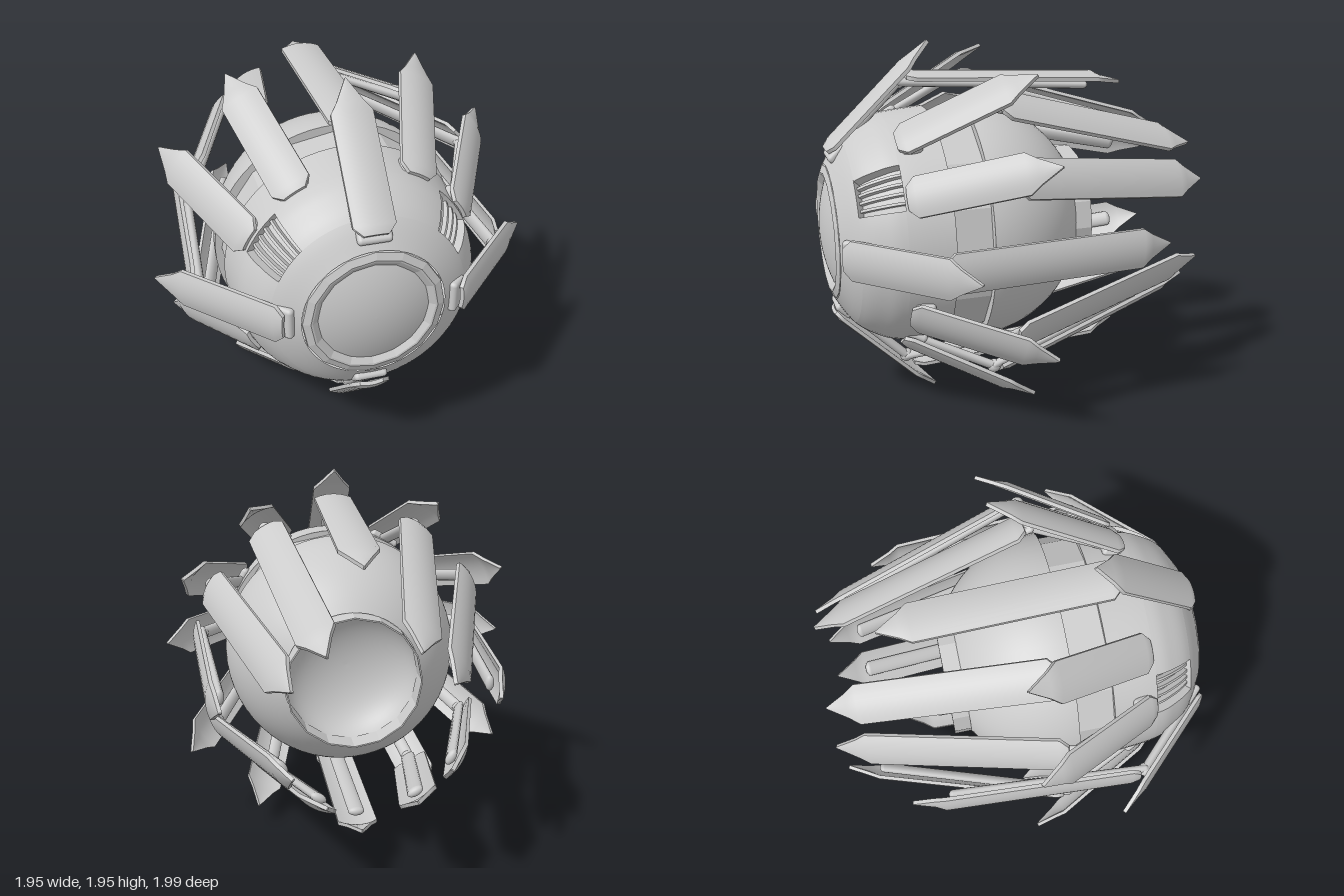
import * as THREE from 'three';
import { RoundedBoxGeometry } from 'three/addons/geometries/RoundedBoxGeometry.js';

const smooth = new THREE.MeshStandardMaterial({ color: 0xcccccc, side: THREE.DoubleSide });
const faceted = new THREE.MeshStandardMaterial({ color: 0xcccccc, side: THREE.DoubleSide, flatShading: true });
const rad = THREE.MathUtils.degToRad;

function add(parent, name, geometry, material = smooth) {
  const mesh = new THREE.Mesh(geometry, material);
  mesh.name = name;
  parent.add(mesh);
  return mesh;
}

// Lathe about the z axis; points are [radius, z], angles are measured from +x
function turned(points, sides = 60, from = 0, sweep = Math.PI * 2) {
  const profile = points.map((p) => (p.isVector2 ? p : new THREE.Vector2(p[0], p[1])));
  return new THREE.LatheGeometry(profile, sides, from + Math.PI / 2, sweep).rotateX(Math.PI / 2);
}

// Points on a circle of radius R centred at z = c, from one z to another
function arc(R, c, z0, z1, n = 20) {
  return Array.from({ length: n + 1 }, (_, i) => {
    const z = z0 + ((z1 - z0) * i) / n;
    return [Math.sqrt(R * R - (z - c) ** 2), z];
  });
}

// Curved armour plate with a chamfered root and a pointed tip, from a to b as [radius, z]
function plateGeometry(a, b, tipLift) {
  const start = new THREE.Vector2(...a);
  const d = new THREE.Vector2(...b).sub(start);
  const L = d.length();
  d.normalize();
  const n = new THREE.Vector2(-d.y, d.x);
  const rows = [ // distance, half width, lift
    [0, 0.06, -0.012], [0.045, 0.103, 0], [L - 0.17, 0.103, 0],
    [L - 0.115, 0.065, tipLift * 0.5], [L, 0.003, tipLift],
  ];
  const geo = new THREE.BoxGeometry(1, 2, 1, 1, 8, rows.length - 1);
  const p = geo.attributes.position;
  for (let i = 0; i < p.count; i++) {
    const [s, w, lift] = rows[Math.round((0.5 - p.getZ(i)) * (rows.length - 1))];
    const y = p.getY(i) * w;
    const h = lift - 0.02 * (y / 0.1) ** 2 + (p.getX(i) - 0.5) * 0.02;
    p.setXYZ(i, start.x + d.x * s + n.x * h, y, start.y + d.y * s + n.y * h);
  }
  geo.computeVertexNormals();
  return geo;
}

// Rounded bar between two [radius, z] points, flattened across the arm
function bar(parent, name, a, b, r, widen) {
  const dx = b[0] - a[0], dz = b[1] - a[1];
  const geo = new THREE.CapsuleGeometry(r, Math.hypot(dx, dz), 6, 16);
  geo.scale(1, 1, widen).rotateX(Math.PI / 2).rotateY(Math.atan2(dx, dz));
  geo.rotateZ(0).translate((a[0] + b[0]) / 2, 0, (a[1] + b[1]) / 2);
  return add(parent, name, geo);
}

// One two-part arm lying in the x-z plane
function makeArm(spec) {
  const arm = new THREE.Group();
  arm.name = 'arm';
  add(arm, 'lowerPlate', plateGeometry(...spec.lower));
  add(arm, 'upperPlate', plateGeometry(...spec.upper));
  bar(arm, 'lowerRod', spec.foot, spec.joint, 0.024, 1.5);
  bar(arm, 'upperRod', spec.joint, spec.rodEnd, 0.024, 1.8);
  const ball = add(arm, 'elbowBall', new THREE.SphereGeometry(0.036, 20, 14));
  ball.position.set(spec.joint[0], 0, spec.joint[1]);
  const foot = add(arm, 'footBracket', new RoundedBoxGeometry(0.045, 0.17, 0.11, 3, 0.02));
  foot.position.set(spec.foot[0], 0, spec.foot[1]);
  foot.rotation.y = spec.footTilt;
  return arm;
}

// Round hull: front shell with vent windows, recessed band, rear shell and sockets
function makeBody() {
  const body = new THREE.Group();
  body.name = 'body';
  const front = new THREE.SplineCurve([[0.625, 0.43], [0.602, 0.66], [0.56, 0.77], [0.487, 0.87], [0.355, 0.955]]
    .map((p) => new THREE.Vector2(...p))).getPoints(24);
  const windowPts = front.slice(6, 19);
  const ventHalf = rad(12);
  const ventAngles = [rad(36), rad(144)];

  add(body, 'frontShell', turned(front.slice(0, 7)));
  add(body, 'frontShellNose', turned(front.slice(18)));
  add(body, 'frontShellTop', turned(windowPts, 14, ventAngles[0] + ventHalf, rad(84)));
  add(body, 'frontShellBottom', turned(windowPts, 38, ventAngles[1] + ventHalf, rad(228)));

  // Recessed vents with slats running along the hull
  const inset = (depth) => windowPts.map((p) => new THREE.Vector2(p.x - depth * 0.8, p.y - depth * 0.6));
  const slat = (depth) => new THREE.ExtrudeGeometry(
    new THREE.Shape([...inset(depth), ...inset(0.07).reverse()]), { depth: 0.014, bevelEnabled: false })
    .translate(0, 0, -0.007).rotateX(Math.PI / 2);
  for (const angle of ventAngles) {
    const vent = new THREE.Group();
    vent.name = 'vent';
    const floor = [windowPts[0], ...inset(0.055), windowPts[windowPts.length - 1]];
    add(vent, 'ventFloor', turned(floor, 4, angle - ventHalf, ventHalf * 2), faceted);
    for (let i = 0; i <= 5; i++) {
      const edge = i === 0 || i === 5;
      const blade = add(vent, edge ? 'ventWall' : 'ventSlat', slat(edge ? 0.001 : 0.025), faceted);
      blade.rotation.z = angle + ventHalf * ((i / 5) * 2 - 1);
    }
    body.add(vent);
  }

  add(body, 'waistBand', turned([[0.605, 0.24], [0.605, 0.43]], 16), faceted);
  add(body, 'frontShellLip', turned([[0.59, 0.43], [0.625, 0.43]]), faceted);
  add(body, 'rearShell', turned(arc(0.64, 0.24, -0.29, 0.24)));
  add(body, 'rearShellLip', turned([[0.64, 0.24], [0.59, 0.24]]), faceted);

  // Front eye: bevelled ring around a shallow dome
  add(body, 'eyeRing', turned([[0.355, 0.945], [0.352, 0.957], [0.315, 0.972], [0.305, 0.97], [0.27, 0.945]], 16), faceted);
  const dome = Array.from({ length: 13 }, (_, i) => [0.285 * (1 - i / 12), 1 - 0.055 * (1 - i / 12) ** 2]);
  add(body, 'eyeDome', turned(dome, 48));

  // Rear socket: thin faceted collar with a hollow bowl inside
  add(body, 'rearCollar', turned([[0.352, -0.26], [0.352, -0.38], [0.36, -0.38], [0.36, -0.27]], 16), faceted);
  const bowl = Array.from({ length: 17 }, (_, i) => {
    const t = (i / 16) * Math.PI / 2;
    return [0.355 * Math.cos(t), -0.28 + 0.2 * Math.sin(t)];
  });
  add(body, 'rearBowl', turned(bowl, 48));
  return body;
}

export function createModel() {
  const model = new THREE.Group();
  model.name = 'armedPod';
  const pod = new THREE.Group();
  pod.name = 'pod';
  pod.position.y = 0.98;
  model.add(pod);
  pod.add(makeBody());

  // Steep arms sit on the axes, long arms fill the gaps between them
  const steepArm = {
    lower: [[0.46, 0.97], [0.99, 0.425], -0.02], upper: [[0.825, 0.53], [0.757, -0.67], -0.05],
    foot: [0.43, 0.905], joint: [0.768, 0.565], rodEnd: [0.695, -0.45], footTilt: -0.77,
  };
  const longArm = {
    lower: [[0.635, 0.66], [1.02, 0], -0.03], upper: [[0.85, 0.14], [0.475, -1], -0.03],
    foot: [0.605, 0.58], joint: [0.81, 0.18], rodEnd: [0.48, -0.8], footTilt: -0.5,
  };
  for (let i = 0; i < 12; i++) {
    const arm = makeArm(i % 3 === 0 ? steepArm : longArm);
    arm.rotation.z = (i * Math.PI) / 6;
    pod.add(arm);
  }
  return model;
}
